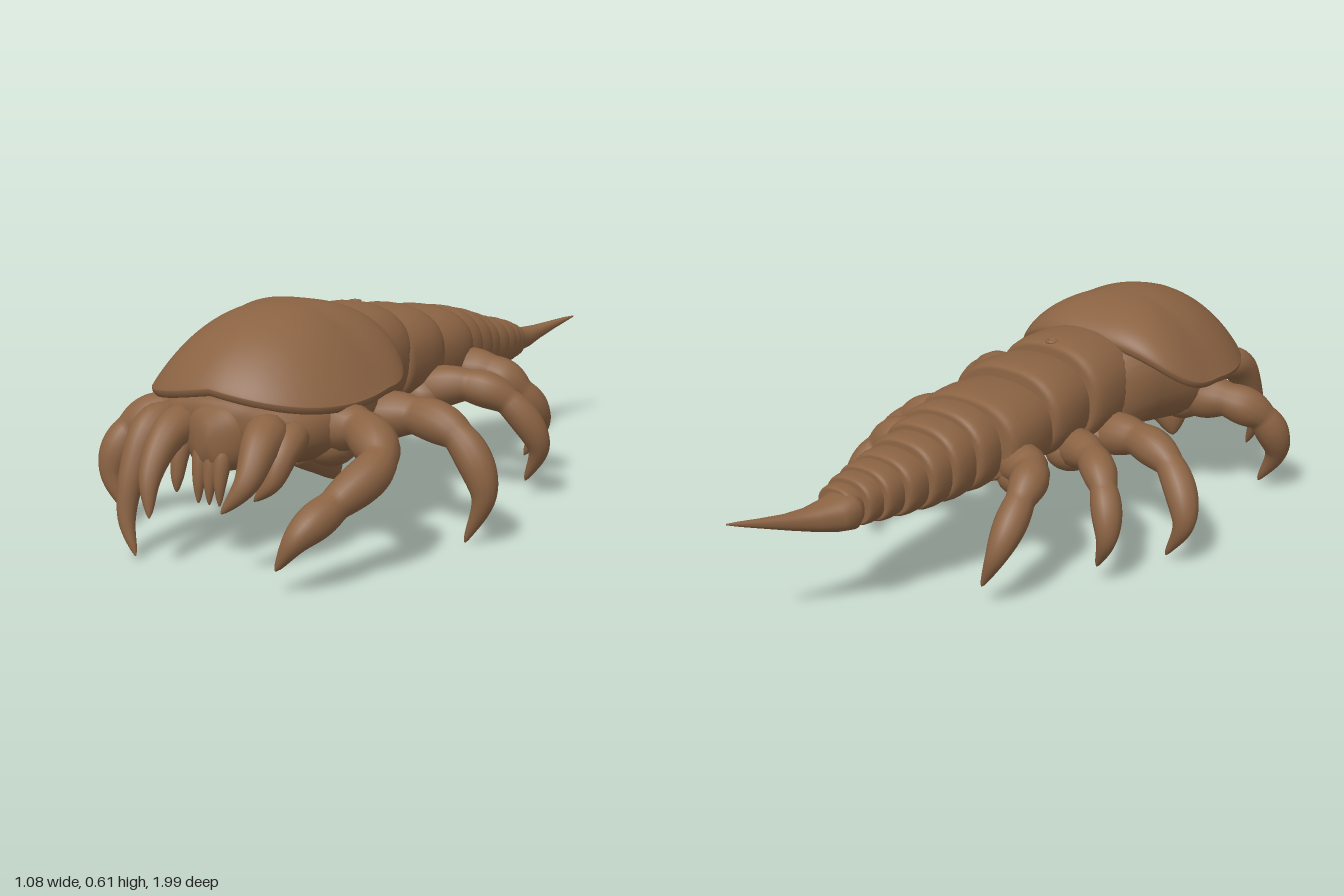
import * as THREE from 'three';

const brown = new THREE.MeshStandardMaterial({ color: 0x8b6343 });
brown.name = 'brown chitin';

// Skin a stack of rings and close both ends
function loft(rings) {
  const n = rings[0].length, pos = [], idx = [];
  rings.forEach(r => r.forEach(p => pos.push(p.x, p.y, p.z)));
  for (let j = 0; j < rings.length - 1; j++) {
    for (let i = 0; i < n; i++) {
      const a = j * n + i, b = j * n + (i + 1) % n;
      idx.push(a, b, a + n, b, b + n, a + n);
    }
  }
  [0, rings.length - 1].forEach((j, end) => {
    const c = new THREE.Vector3();
    rings[j].forEach(p => c.addScaledVector(p, 1 / n));
    const k = pos.length / 3;
    pos.push(c.x, c.y, c.z);
    for (let i = 0; i < n; i++) {
      const a = j * n + i, b = j * n + (i + 1) % n;
      if (end) idx.push(k, a, b); else idx.push(k, b, a);
    }
  });
  const g = new THREE.BufferGeometry();
  g.setAttribute('position', new THREE.Float32BufferAttribute(pos, 3));
  g.setIndex(idx);
  g.computeVertexNormals();
  return g;
}

// Tube along a smooth path; radiusAt receives the path parameter 0..1
function taperedTube(points, radiusAt, steps, sides = 14) {
  const curve = new THREE.CatmullRomCurve3(points.map(p => new THREE.Vector3(...p)));
  const f = curve.computeFrenetFrames(steps);
  const rings = [];
  for (let j = 0; j <= steps; j++) {
    const c = curve.getPointAt(j / steps), r = radiusAt(curve.getUtoTmapping(j / steps));
    rings.push(Array.from({ length: sides }, (_, i) => {
      const a = i / sides * Math.PI * 2;
      return c.clone().addScaledVector(f.normals[j], r * Math.cos(a)).addScaledVector(f.binormals[j], r * Math.sin(a));
    }));
  }
  return loft(rings);
}

// Jointed limb: swollen segments between path points, last one a slim pointed claw
function leg(points, r) {
  const n = points.length - 1;
  return taperedTube(points, t => {
    const s = Math.min(t * n, n - 1e-6), k = Math.floor(s), u = s - k;
    const base = r * (1.05 - 0.52 * s / n);
    if (k < n - 1) return base * (0.9 + 0.2 * Math.sin(Math.PI * u));
    return base * 0.84 * Math.pow(1 - u, 0.65) + 0.002;
  }, 64);
}

// Horn that swells out of the head and narrows steadily to a point
const spike = (points, r) => taperedTube(points, t => r * Math.min(1, 0.7 + 1.5 * t) * Math.pow(1 - t, 0.7) + 0.002, 28);

// Body cross-section [z, centre x, half width, top y, bottom y]
function section([z, cx, w, top, bot], scale = 1) {
  const cy = (top + bot) / 2, h = (top - bot) / 2 * scale;
  return Array.from({ length: 36 }, (_, i) => {
    const a = i / 36 * Math.PI * 2, c = Math.cos(a), s = Math.sin(a);
    return new THREE.Vector3(
      cx - w * scale * Math.sign(c) * Math.pow(Math.abs(c), 0.85),
      cy + h * Math.sign(s) * Math.pow(Math.abs(s), 0.85), z);
  });
}

// Domed head shield with a thick lip, drooping shoulders and a raised, squarer back edge
function shieldGeometry() {
  const n = 72, rings = [];
  const ring = (s, lift, drop) => Array.from({ length: n }, (_, i) => {
    const a = i / n * Math.PI * 2, sx = Math.sin(a), cz = Math.cos(a);
    const e = cz > 0 ? 0.9 : 0.7;
    const px = Math.sign(sx) * Math.pow(Math.abs(sx), e);
    const pz = Math.sign(cz) * Math.pow(Math.abs(cz), e);
    const front = Math.max(pz, 0), back = Math.max(-pz, 0);
    const rim = 0.408 + 0.03 * front * front - 0.05 * front * Math.abs(px) + 0.12 * back ** 3;
    const dome = lift ? Math.pow(Math.max(1 - s ** 2.4, 0), 1.12 - 0.27 * front - 0.52 * back) : 0;
    return new THREE.Vector3(
      -0.048 + 0.318 * s * px + 0.012 * (1 - s),
      rim + (0.607 - rim) * dome - drop,
      0.47 + s * pz * (cz > 0 ? 0.35 : 0.22));
  });
  [[0.8, -0.02], [0.88, 0.008], [0.94, 0.018], [0.975, 0.018], [0.995, 0.01]]
    .forEach(([s, drop]) => rings.push(ring(s, false, drop)));
  for (let j = 0; j <= 24; j++) rings.push(ring(Math.max(Math.cos(j / 24 * Math.PI / 2), 0.002), true, 0));
  return loft(rings);
}

export function createModel() {
  const model = new THREE.Group();
  const add = (name, geometry) => {
    const m = new THREE.Mesh(geometry, brown);
    m.name = name;
    model.add(m);
    return m;
  };

  add('headShield', shieldGeometry());

  // Thorax below the shield
  add('thorax', loft([
    [0.81, -0.03, 0.1, 0.405, 0.32], [0.79, -0.03, 0.16, 0.412, 0.28], [0.74, -0.03, 0.215, 0.42, 0.24],
    [0.65, -0.03, 0.25, 0.44, 0.22], [0.5, -0.03, 0.25, 0.5, 0.21], [0.35, -0.03, 0.22, 0.54, 0.23],
    [0.2, -0.03, 0.18, 0.54, 0.25],
  ].map(r => section(r))));

  // Overlapping abdomen rings: [front z, back z, centre x, half width, top, bottom]
  [
    [0.32, 0.08, -0.033, 0.184, 0.556, 0.25], [0.13, -0.08, -0.012, 0.182, 0.528, 0.255],
    [-0.03, -0.26, -0.005, 0.178, 0.497, 0.245], [-0.2, -0.34, 0.012, 0.15, 0.48, 0.237],
    [-0.28, -0.42, 0.02, 0.136, 0.46, 0.233], [-0.36, -0.49, 0.025, 0.122, 0.438, 0.235],
    [-0.44, -0.56, 0.035, 0.11, 0.415, 0.24], [-0.51, -0.62, 0.045, 0.096, 0.4, 0.245],
    [-0.57, -0.67, 0.052, 0.082, 0.385, 0.25], [-0.63, -0.71, 0.06, 0.066, 0.368, 0.255],
  ].forEach(([z0, z1, cx, w, top, bot]) => add('abdomenRing', loft(
    [[0, 0.88], [0.15, 0.93], [0.35, 0.97], [0.55, 1], [0.75, 1], [0.88, 0.98], [0.96, 0.94], [1, 0.88]]
      .map(([u, s]) => section([z0 + (z1 - z0) * u, cx, w, top, bot], s)))));

  // Curved tail spine
  add('tailSpine', loft([
    [-0.66, 0.045, 0.045, 0.355, 0.265], [-0.7, 0.042, 0.064, 0.36, 0.256], [-0.74, 0.05, 0.055, 0.348, 0.262],
    [-0.79, 0.075, 0.036, 0.336, 0.272], [-0.85, 0.095, 0.024, 0.336, 0.292], [-0.92, 0.123, 0.014, 0.342, 0.316],
    [-0.97, 0.145, 0.008, 0.347, 0.333], [-1, 0.16, 0.002, 0.348, 0.344],
  ].map(r => section(r))));

  // Right limbs
  add('rightFrontHorn', spike([[-0.2, 0.33, 0.7], [-0.235, 0.32, 0.8], [-0.247, 0.22, 0.865], [-0.247, 0.1, 0.9], [-0.212, 0.012, 0.915]], 0.056));
  add('rightSecondLeg', leg([[-0.2, 0.29, 0.56], [-0.34, 0.3, 0.57], [-0.43, 0.25, 0.62], [-0.46, 0.14, 0.665], [-0.4, 0.02, 0.67]], 0.062));
  add('rightThirdLeg', leg([[-0.14, 0.28, 0.18], [-0.29, 0.3, 0.165], [-0.42, 0.265, 0.135], [-0.508, 0.14, 0.08], [-0.455, 0.02, 0.075]], 0.058));
  add('rightFourthLeg', leg([[-0.12, 0.28, 0.05], [-0.27, 0.305, -0.03], [-0.36, 0.26, -0.1], [-0.408, 0.15, -0.15], [-0.37, 0.045, -0.14]], 0.053));
  add('rightRearLeg', leg([[-0.11, 0.31, -0.19], [-0.22, 0.325, -0.24], [-0.252, 0.28, -0.33], [-0.255, 0.17, -0.43], [-0.21, 0.06, -0.445]], 0.056));

  // Left limbs
  add('leftFrontLeg', leg([[0.12, 0.32, 0.6], [0.27, 0.33, 0.62], [0.365, 0.28, 0.7], [0.325, 0.2, 0.85], [0.285, 0.14, 0.955], [0.238, 0.06, 0.98]], 0.061));
  add('leftSecondLeg', leg([[0.12, 0.29, 0.36], [0.28, 0.31, 0.345], [0.42, 0.275, 0.37], [0.5, 0.14, 0.385], [0.45, 0.002, 0.39]], 0.06));
  add('leftThirdLeg', leg([[0.1, 0.29, 0.0], [0.25, 0.315, -0.03], [0.36, 0.275, -0.06], [0.44, 0.15, -0.095], [0.395, 0.04, -0.11]], 0.055));
  add('leftRearLeg', leg([[0.1, 0.31, -0.22], [0.23, 0.315, -0.225], [0.31, 0.26, -0.25], [0.345, 0.16, -0.31], [0.3, 0.055, -0.315]], 0.059));

  // Drooping fangs, broad at the base
  add('rightFang', spike([[-0.14, 0.34, 0.74], [-0.15, 0.32, 0.845], [-0.15, 0.23, 0.93], [-0.13, 0.135, 0.968]], 0.06));
  add('leftFang', spike([[0.09, 0.34, 0.74], [0.115, 0.32, 0.84], [0.118, 0.24, 0.915], [0.07, 0.17, 0.952]], 0.064));
  add('leftFeeler', spike([[0.14, 0.34, 0.7], [0.155, 0.3, 0.795], [0.145, 0.23, 0.84], [0.1, 0.18, 0.85]], 0.05));

  // Mouth plate ending in small teeth
  add('mouthPlate', loft([
    [0.845, -0.04, 0.03, 0.36, 0.26], [0.825, -0.04, 0.07, 0.39, 0.235], [0.78, -0.04, 0.1, 0.405, 0.225],
    [0.7, -0.04, 0.11, 0.41, 0.24],
  ].map(r => section(r))));
  [[-0.135, 0.17], [-0.07, 0.15], [-0.038, 0.15], [-0.008, 0.15]].forEach(([x, tip]) =>
    add('mouthTooth', spike([[x, 0.34, 0.77], [x, 0.28, 0.815], [x, 0.21, 0.835], [x, tip, 0.84]], 0.032)));

  // Blunt coxae under the thorax and sockets at the leg roots
  for (const side of [-1, 1]) {
    add('coxa', spike([[-0.02 + side * 0.1, 0.28, 0.57], [-0.02 + side * 0.14, 0.22, 0.54], [-0.02 + side * 0.165, 0.165, 0.52]], 0.085));
    (side < 0 ? [0.55, 0.17, 0.03, -0.19] : [0.59, 0.36, 0, -0.21]).forEach(z => {
      const socket = add('legSocket', new THREE.SphereGeometry(1, 20, 14));
      socket.position.set(-0.015 + side * (z > 0.3 ? 0.18 : 0.14), 0.28, z);
      socket.scale.set(0.075, 0.062, 0.072);
    });
  }

  // Small pore on the back
  const pore = add('backPore', new THREE.TorusGeometry(0.014, 0.005, 8, 20));
  pore.rotation.x = Math.PI / 2;
  pore.position.set(-0.03, 0.55, 0.11);

  return model;
}
